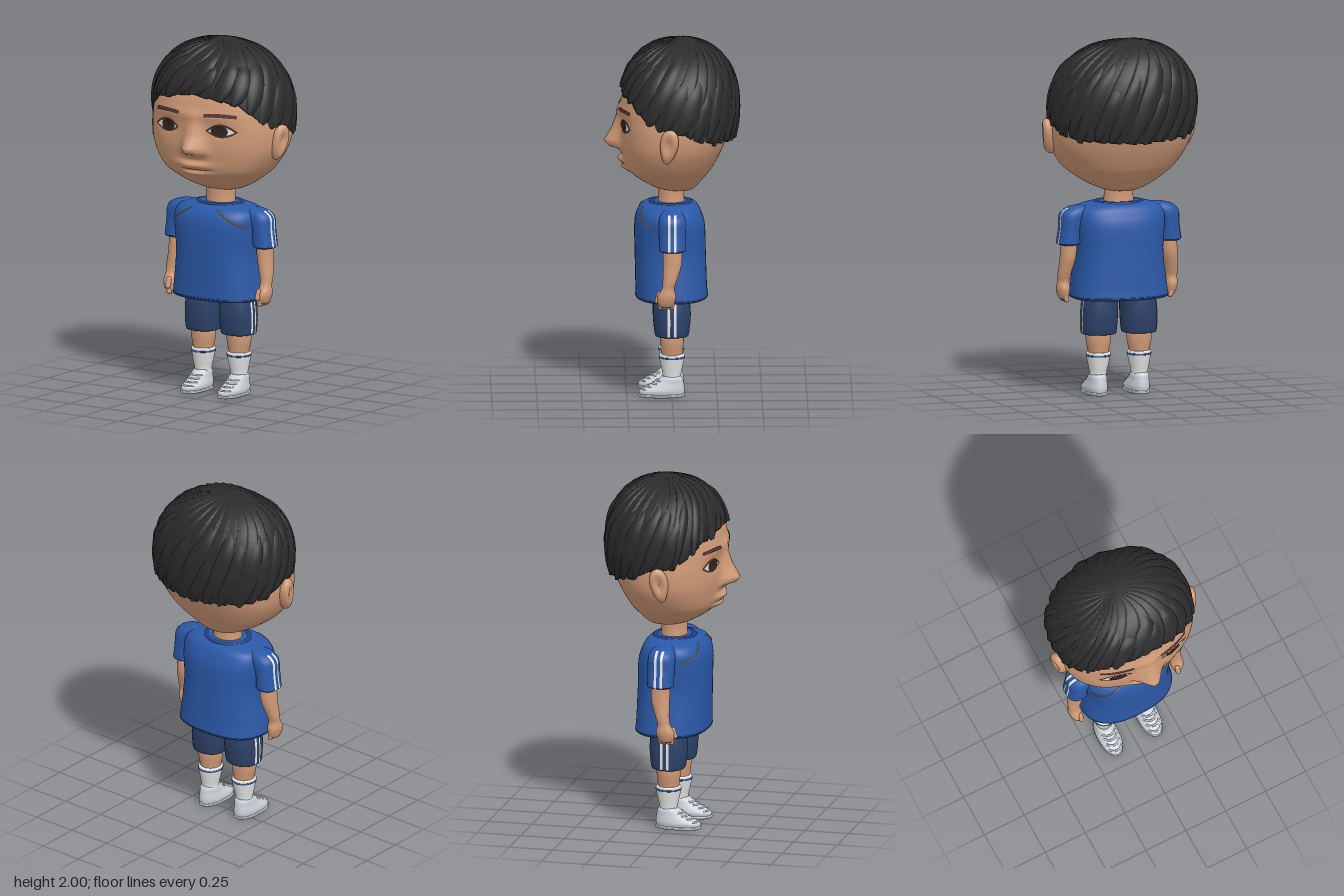
import * as THREE from 'three';

const paint = (name, color) => {
  const m = new THREE.MeshStandardMaterial({ color, side: THREE.DoubleSide });
  m.name = name;
  return m;
};

// Grid surface from a point rule; wrap closes it along u
function grid(fn, nu, nv, wrap = false) {
  const pos = [], idx = [], cols = wrap ? nu : nu + 1;
  for (let j = 0; j <= nv; j++)
    for (let i = 0; i < cols; i++) pos.push(...fn(i / nu, j / nv, j));
  for (let j = 0; j < nv; j++)
    for (let i = 0; i < nu; i++) {
      const k = (i + 1) % cols, a = j * cols + i, b = j * cols + k, c = b + cols, d = a + cols;
      idx.push(a, b, c, a, c, d);
    }
  const g = new THREE.BufferGeometry();
  g.setAttribute('position', new THREE.Float32BufferAttribute(pos, 3));
  g.setIndex(idx);
  g.computeVertexNormals();
  return g;
}

// Sections are [y, half width, front z, back z, centre x], rising in y
function section(secs, u) {
  const f = Math.min(Math.max(u, 0), 1) * (secs.length - 1);
  const i = Math.min(Math.floor(f), secs.length - 2), t = f - i;
  const at = (n, k) => secs[Math.min(Math.max(n, 0), secs.length - 1)][k] || 0;
  return [0, 1, 2, 3, 4].map(k => {
    const a = at(i - 1, k), b = at(i, k), c = at(i + 1, k), d = at(i + 2, k);
    return b + 0.5 * t * (c - a + t * (2 * a - 5 * b + 4 * c - d + t * (3 * (b - c) + d - a)));
  });
}
function sectionAt(secs, y) {
  let lo = 0, hi = 1;
  for (let k = 0; k < 30; k++) {
    const m = (lo + hi) / 2;
    if (section(secs, m)[0] < y) lo = m; else hi = m;
  }
  return section(secs, lo);
}
const spow = (v, p) => Math.sign(v) * Math.pow(Math.abs(v), p);
const arc = (q, n) => Math.pow(Math.max(0, 1 - Math.pow(Math.abs(q), n)), 1 / n);

// Closed body through the sections, with superellipse outlines
function loft(secs, n = 2, nu = 32, nv = 28, bump = null) {
  return grid((u, v, j) => {
    const s = section(secs, (j - 1) / (nv - 2)), a = u * Math.PI * 2;
    const k = j === 0 || j === nv ? 0 : 1, zc = (s[2] + s[3]) / 2;
    const x = s[4] + k * s[1] * spow(Math.sin(a), 2 / n);
    let z = zc + k * (s[2] - s[3]) / 2 * spow(Math.cos(a), 2 / n);
    if (bump && k && Math.cos(a) > 0) z += bump(x, s[0]) * Math.min(1, Math.cos(a) * 4);
    return [x, s[0], z];
  }, nu, nv, true);
}
const frontZ = (secs, n, x, y) => {
  const s = sectionAt(secs, y);
  return (s[2] + s[3]) / 2 + (s[2] - s[3]) / 2 * arc((x - s[4]) / s[1], n);
};
const lerpTable = (t, x) => {
  for (let i = 1; i < t.length; i++)
    if (x <= t[i][0]) return THREE.MathUtils.mapLinear(Math.max(x, t[0][0]), t[i - 1][0], t[i][0], t[i - 1][1], t[i][1]);
  return t[t.length - 1][1];
};
// Sections for a limb on side s; entries are [y, rx, rz, cx, cz]
const limb = (rows, s) => rows.map(([y, rx, rz, cx, cz = 0]) => [y, rx, cz + rz, cz - rz, cx * s]);

const HEAD = [[1.15, .06, .01, -.1], [1.165, .12, .075, -.13], [1.2, .195, .145, -.16], [1.25, .27, .215, -.2],
  [1.3, .325, .258, -.235], [1.4, .384, .278, -.285], [1.5, .403, .285, -.32], [1.6, .396, .285, -.33],
  [1.7, .38, .268, -.33], [1.8, .32, .21, -.3], [1.88, .2, .12, -.21], [1.92, .08, .03, -.12]];
const NOSE = [[1.36, 0], [1.385, .025], [1.405, .08], [1.43, .098], [1.5, .052], [1.58, .02], [1.65, 0]];
const gauss = (d, w) => Math.exp(-(d * d) / (w * w));
const faceBump = (x, y) => {
  const w = lerpTable([[1.38, .072], [1.45, .06], [1.6, .036]], y);
  return lerpTable(NOSE, y) * Math.exp(-Math.pow(Math.abs(x - .012) / w, 2.3))
    + gauss(x, .09) * (.036 * gauss(y - 1.328, .02) + .032 * gauss(y - 1.28, .018) + .012 * gauss(y - 1.23, .025))
    - .012 * gauss(Math.abs(x) - .17, .07) * gauss(y - 1.535, .045)
    + .01 * gauss(y - 1.615, .03) * gauss(x, .25);
};
const faceZ = (x, y) => frontZ(HEAD, 2.4, x, y) + faceBump(x, y);

// Hair surface: th runs round the crown, t from crown to hairline
const HAIRLINE = [[0, 1.73], [.65, 1.69], [.95, 1.62], [1.2, 1.555], [1.6, 1.54], [1.85, 1.49], [2.3, 1.47], [Math.PI, 1.45]];
function hairPoint(th, t, lift) {
  const a = Math.abs(Math.atan2(Math.sin(th), Math.cos(th))), yh = lerpTable(HAIRLINE, a), mid = 1.615;
  const end = yh > mid ? Math.acos(Math.pow((yh - mid) / .38, 1 / .9)) : Math.PI / 2 + (mid - yh) / .33;
  const phi = t * end, top = phi < Math.PI / 2;
  const y = top ? mid + .38 * Math.pow(Math.cos(phi), .9) : mid - .33 * (phi - Math.PI / 2);
  const rho = top ? Math.pow(Math.sin(phi), .9) : 1 - .07 * ((mid - y) / .18) ** 2;
  const c = Math.max(0, 1 - t), p = .9 - .08 * Math.cos(th);
  return [-.04 * c + (.405 * rho + lift) * spow(Math.sin(th), p),
    y + (top ? lift * Math.cos(phi) * .5 : 0),
    -.04 - .015 * c + (.322 * rho + lift) * spow(Math.cos(th), p)];
}
const SWIRL = .7, LOCKS = 28;

export function createModel() {
  const model = new THREE.Group();
  const skin = paint('skin', 0xd09a77), hairMat = paint('hair', 0x2b2b2b), brown = paint('brow brown', 0x553530);
  const white = paint('white', 0xebebe8), iris = paint('iris', 0x35231f), blue = paint('shirt blue', 0x2b59a8);
  const navy = paint('trim navy', 0x214280), shortsMat = paint('shorts navy', 0x2c4268);
  const gold = paint('piping gold', 0xc2a458), grey = paint('shoe grey', 0xcbd2d8);
  const add = (name, geo, mat) => {
    const m = new THREE.Mesh(geo, mat);
    m.name = name;
    model.add(m);
    return m;
  };

  // Head and neck
  add('head', loft(HEAD, 2.4, 128, 120, faceBump), skin);
  add('neck', loft([[1.04, .09, .08, -.075], [1.12, .083, .075, -.07], [1.22, .086, .078, -.075]]), skin);

  // Facial details, laid on the face
  const patch = (name, mat, cx, w, lo, hi, off) => add(name, grid((u, v) => {
    const q = u * 2 - 1, x = cx + q * w, y = lo(q) + (hi(q) - lo(q)) * v;
    return [x, y, faceZ(x, y) + off];
  }, 18, 6), mat);
  const almond = (name, mat, cx, w, h, off) => patch(name, mat, cx, w,
    q => 1.536 - h * .85 * (1 - q * q), q => 1.536 + h * (1 - q * q), off);
  for (const s of [1, -1]) {
    almond('eyelid', brown, s * .182, .092, .042, .004);
    almond('eyeWhite', white, s * .182, .076, .027, .006);
    patch('iris', iris, s * .172, .05, q => 1.537 - .034 * arc(q, 2), q => 1.537 + .034 * arc(q, 2), .008);
    patch('eyebrow', brown, s * .175, .092, q => 1.616 - .004 * q * q, q => 1.637 - .006 * q * q, .005);
  }
  patch('mouth', brown, .01, .1, q => 1.304 - .001 * (1 - q * q), q => 1.307 + .003 * (1 - q * q), .003);

  // Ears with a hollow on the outer side
  for (const s of [1, -1]) {
    const g = new THREE.SphereGeometry(1, 32, 24), p = g.attributes.position;
    for (let i = 0; i < p.count; i++) {
      let x = p.getX(i) * .046;
      const y = p.getY(i), z = p.getZ(i);
      if (x * s > 0) x -= s * .03 * gauss(y - .15, .5) * gauss(z, .5);
      p.setXYZ(i, x, y * .102, z * .05 * (1 + .25 * y));
    }
    g.computeVertexNormals();
    const ear = add('ear', g, skin);
    ear.position.set(s * .407, 1.463, .02);
    ear.rotation.set(-.18, s * -.25, s * -.2);
  }

  // Hair cap with swirling ridges, tucked in under the hairline
  add('hair', grid((u, v) => {
    const th = -u * Math.PI * 2, t = Math.min(1, v / .96);
    const s = (th + SWIRL * t) * LOCKS / (Math.PI * 2), f = s - Math.floor(s);
    const ridge = f < .88 ? Math.pow(f / .88, .7) : (1 - f) / .12;
    const lift = .01 * ridge * Math.min(1, t * 3);
    return hairPoint(th, t * (1 + .015 * ridge * t), v > .97 ? -.035 : lift);
  }, LOCKS * 9, 48, true), hairMat);

  // Loose overlapping locks around the edge
  let seed = 7;
  const rnd = () => (seed = (seed * 16807) % 2147483647) / 2147483647;
  for (let i = 0; i < 26; i++) {
    const th0 = (i + rnd() * .6) / 26 * Math.PI * 2, t0 = .3 + rnd() * .35, t1 = .99 + rnd() * .045, w = .12 + rnd() * .07;
    add('hairLock', grid((u, v) => {
      const q = 1 - u * 2, t = t0 + (t1 - t0) * v, half = w * Math.pow(Math.sin(Math.PI * (.08 + .87 * v)), .7);
      return hairPoint(th0 + SWIRL * (1 - t) + q * half, t, .004 + .013 * (1 - q * q) * Math.min(1, v * 4));
    }, 8, 14), hairMat);
  }

  // Shirt body, hem, collar and piping
  const SHIRT = [[.547, .262, .187, -.188], [.56, .274, .2, -.2], [.62, .268, .201, -.196], [.8, .248, .205, -.19],
    [.95, .258, .207, -.185], [1.02, .258, .195, -.165], [1.06, .23, .168, -.143], [1.08, .165, .13, -.112], [1.087, .11, .085, -.08]];
  add('shirt', loft(SHIRT, 2.5, 64, 48), blue);
  add('shirtHem', loft([[.55, .266, .192, -.193], [.554, .274, .2, -.2], [.561, .276, .202, -.202], [.565, .27, .197, -.197]], 2.5, 64, 10), navy);
  const collar = add('collar', new THREE.TorusGeometry(.125, .02, 12, 48).rotateX(Math.PI / 2), navy);
  collar.position.set(0, 1.074, .006);
  collar.scale.set(1, .85, .84);

  // Strip down the outer side of a limb
  const stripe = (name, secs, n, s, z0, w, y0, y1) => add(name, grid((u, v) => {
    const y = y0 + (y1 - y0) * v, z = z0 - s * (u - .5) * w, c = sectionAt(secs, y);
    const q = (z - (c[2] + c[3]) / 2) / ((c[2] - c[3]) / 2);
    return [c[4] + s * (c[1] * arc(q, n) + .004), y, z];
  }, 2, 20), white);

  for (const s of [1, -1]) {
    const path = [...Array(9).keys()].map(i => {
      const x = s * (.09 + .155 * i / 8), y = 1.064 - .095 * i / 8;
      return new THREE.Vector3(x, y, frontZ(SHIRT, 2.5, x, y) + .002);
    });
    add('piping', new THREE.TubeGeometry(new THREE.CatmullRomCurve3(path), 32, .004, 6), gold);

    // Sleeve
    const sleeve = limb([[.853, .052, .064, .3], [.86, .062, .073, .299], [.872, .062, .074, .297], [.95, .058, .075, .29],
      [1.02, .072, .075, .272], [1.055, .068, .06, .245], [1.07, .04, .035, .225]], s);
    add('sleeve', loft(sleeve, 2.3), blue);
    for (const z of [.017, -.017]) stripe('sleeveStripe', sleeve, 2.3, s, z, .014, .858, 1.06);

    // Arm, hand, fingers and thumb
    add('arm', loft(limb([[.545, .024, .036, .313, .034], [.57, .032, .048, .316, .034], [.605, .037, .05, .318, .03],
      [.645, .033, .035, .318, .024], [.69, .037, .039, .315, .014], [.78, .044, .052, .3], [.88, .046, .052, .293]], s), 2, 24, 32), skin);
    for (let i = 0; i < 4; i++) {
      const finger = add('finger', new THREE.CapsuleGeometry(.014, .03, 4, 10), skin);
      finger.position.set(s * .31, .556, .002 + i * .021);
      finger.rotation.z = s * -.25;
    }
    const thumb = add('thumb', new THREE.CapsuleGeometry(.014, .04, 4, 10), skin);
    thumb.position.set(s * .303, .595, .078);
    thumb.rotation.x = -.3;

    // Shorts leg
    const leg = limb([[.345, .086, .084, .118], [.357, .097, .095, .118], [.45, .102, .105, .116], [.52, .1, .102, .112], [.58, .095, .095, .105]], s);
    add('shortsLeg', loft(leg, 2.3), shortsMat);
    for (const z of [.017, -.017]) stripe('shortsStripe', leg, 2.3, s, z, .014, .353, .55);

    // Leg and sock
    add('leg', loft(limb([[.2, .055, .056, .12], [.25, .059, .06, .12], [.31, .07, .066, .12], [.38, .07, .066, .12]], s)), skin);
    add('sock', loft(limb([[.06, .046, .05, .122], [.12, .047, .05, .122], [.17, .056, .06, .121], [.215, .065, .069, .12],
      [.238, .067, .07, .12], [.243, .06, .062, .12]], s)), white);
    add('sockBand', loft(limb([[.218, .064, .067, .12], [.22, .068, .0715, .12], [.227, .069, .0725, .12], [.229, .065, .068, .12]], s), 2, 32, 8), blue);

    // Shoe, sole and lace ridges
    const cx = s * .124;
    const SHOE = [[.01, .055, .178, -.066, cx], [.035, .062, .182, -.071, cx], [.055, .059, .15, -.07, cx],
      [.08, .053, .105, -.066, cx], [.105, .05, .07, -.061, cx], [.12, .042, .055, -.05, cx]];
    add('shoe', loft(SHOE, 2.2, 40, 28), grey);
    add('sole', loft([[0, .05, .17, -.06, cx], [.005, .06, .184, -.07, cx], [.015, .063, .187, -.073, cx], [.019, .057, .18, -.067, cx]], 2.2, 40, 10), grey);
    for (let i = 0; i < 4; i++) {
      const y = .046 + i * .016;
      const pts = [-1, -.5, 0, .5, 1].map(q => new THREE.Vector3(cx + q * .04, y, frontZ(SHOE, 2.2, cx + q * .04, y)));
      add('lace', new THREE.TubeGeometry(new THREE.CatmullRomCurve3(pts), 12, .006, 6), grey);
    }
  }
  return model;
}
